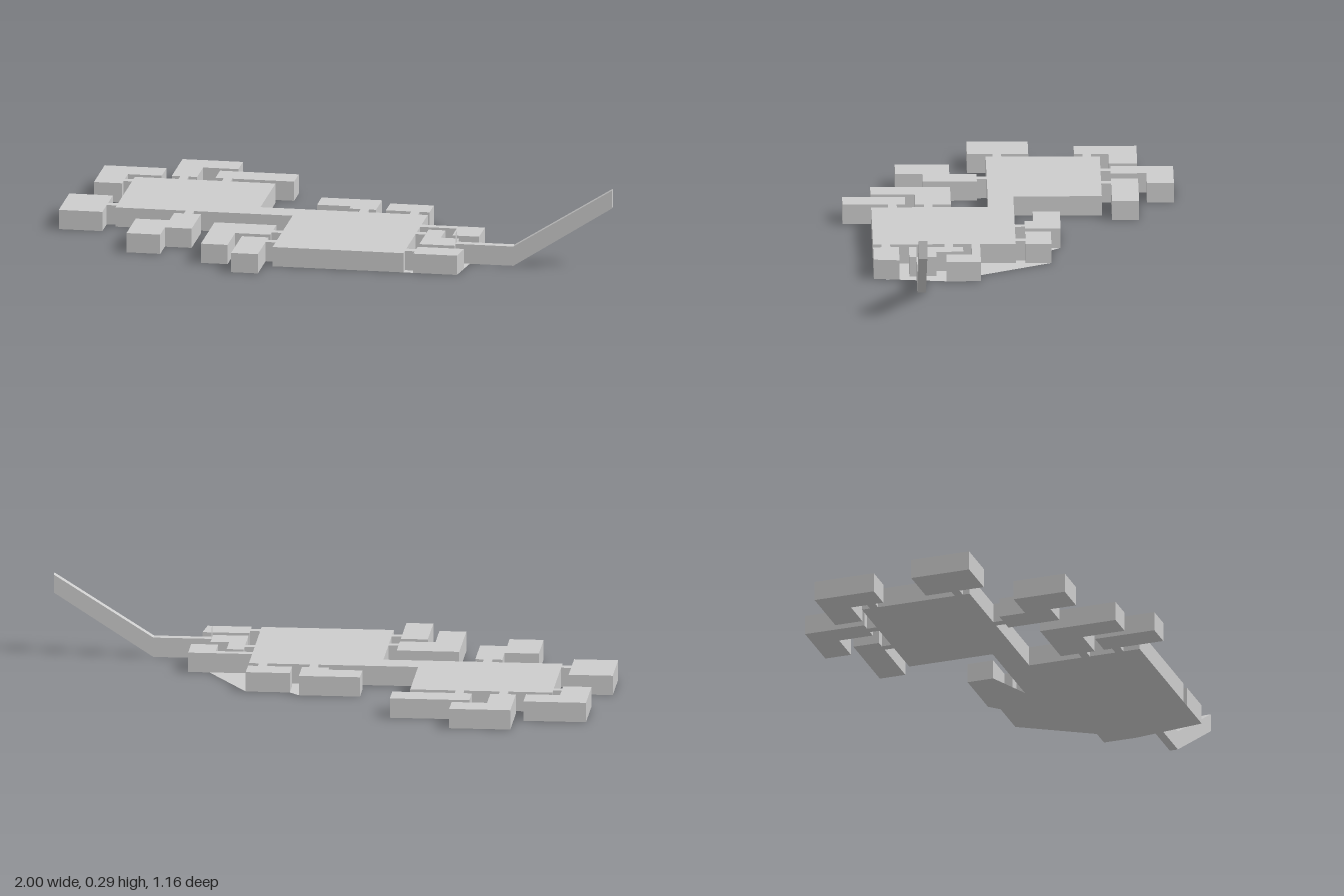
import * as THREE from 'three';

const H = 0.07; // common thickness
const POCKET = 0.05; // depth of the recesses underneath
const GAP = 0.035; // space between a body and its blocks
const mat = new THREE.MeshStandardMaterial({ color: 0xcccccc, flatShading: true });
const thin = new THREE.MeshStandardMaterial({ color: 0xcccccc, flatShading: true, side: THREE.DoubleSide });

// plan points are [x, z]
const plan = (pts) => pts.map(([x, z]) => new THREE.Vector2(x, -z));
const rect = (x0, z0, x1, z1) => [[x0, z0], [x1, z0], [x1, z1], [x0, z1]];

// rectangle with a notch (a by b) cut from the corner at signs sx, sz
function ell(x0, z0, x1, z1, a, b, sx, sz) {
  const w = (x1 - x0) / 2, d = (z1 - z0) / 2;
  return [[-w, -d], [w, -d], [w, d - b], [w - a, d - b], [w - a, d], [-w, d]]
    .map(([x, z]) => [x0 + w + sx * x, z0 + d + sz * z]);
}

// upright plate from a plan outline
function slab(name, pts, y0 = 0, y1 = H, hole = null) {
  const shape = new THREE.Shape(plan(pts));
  if (hole) shape.holes.push(new THREE.Path(plan(hole)));
  const geo = new THREE.ExtrudeGeometry(shape, { depth: y1 - y0, bevelEnabled: false });
  const mesh = new THREE.Mesh(geo.rotateX(-Math.PI / 2).translate(0, y0, 0), mat);
  mesh.name = name;
  return mesh;
}

function group(name, ...parts) {
  const g = new THREE.Group();
  g.name = name;
  return g.add(...parts);
}

// narrow bridges to a body, from their lowest x and z corner
const linkX = (x, z, length = GAP) => slab('link', rect(x, z, x + length, z + 0.03));
const linkZ = (x, z) => slab('link', rect(x, z, x + 0.03, z + GAP));

// square body with a rectangular recess in its underside
function body(name, x0, z0, x1, z1) {
  const inset = 0.11;
  const pocket = rect(x0 + inset, z0 + inset, x1 - inset, z1 - inset);
  const outline = rect(x0, z0, x1, z1);
  return group(name, slab('walls', outline, 0, POCKET, pocket), slab('top', outline, POCKET, H));
}

const block = (...corners) => slab('block', rect(...corners));
const hook = (...shape) => slab('block', ell(...shape));

export function createModel() {
  const model = group('steppedPlate',
    body('smallEndBody', -0.81, -0.33, -0.31, 0.07),
    body('tailEndBody', -0.18, -0.02, 0.285, 0.48),
    slab('neck', rect(-0.31, -0.02, -0.18, 0.07)));

  // blocks around the first body
  model.add(
    group('backCornerBlock', hook(-0.94, -0.46, -0.72, -0.24, 0.12, 0.12, 1, 1), linkX(-0.845, -0.3)),
    group('backHookBlock', hook(-0.685, -0.585, -0.47, -0.365, 0.125, 0.125, 1, 1), linkZ(-0.655, -0.365)),
    group('backBarBlock', block(-0.53, -0.46, -0.25, -0.365), linkZ(-0.5, -0.365)),
    group('sideBlock', block(-1, -0.08, -0.845, 0.135), linkX(-0.845, 0.015)),
    group('frontStepBlock', block(-0.595, 0.105, -0.5, 0.295), block(-0.715, 0.2, -0.595, 0.39),
      linkZ(-0.56, 0.07)));

  // blocks around the second body
  model.add(
    group('frontHookBlock', hook(-0.435, 0.2, -0.215, 0.48, 0.125, 0.155, 1, 1), linkX(-0.215, 0.265)),
    group('frontBarBlock', block(-0.31, 0.36, -0.215, 0.58), linkX(-0.215, 0.39)),
    group('innerBackBlock', hook(-0.12, -0.18, 0.095, -0.055, 0.12, 0.03, -1, 1), linkZ(0.04, -0.055)),
    group('outerBackBlock', block(0.13, -0.145, 0.285, -0.055), linkZ(0.22, -0.055)),
    group('tailSideBlock', block(0.415, 0.105, 0.51, 0.225), linkX(0.285, 0.105, 0.13)),
    group('tailRootBlock', block(0.32, 0.165, 0.38, 0.26), block(0.32, 0.26, 0.445, 0.355),
      linkX(0.285, 0.2)),
    group('tailFrontBlock', slab('block', [[0.32, 0.39], [0.485, 0.39], [0.475, 0.48], [0.32, 0.48]]),
      linkX(0.285, 0.42)));

  // thin floor under the back and tail-side blocks
  const floorGeo = new THREE.ShapeGeometry(new THREE.Shape(plan([
    [-0.12, -0.18], [0.095, -0.18], [0.13, -0.145], [0.285, -0.145], [0.435, 0.105], [0.51, 0.105],
    [0.51, 0.225], [0.475, 0.48], [0.285, 0.48], [0.285, -0.02], [0.03, -0.02], [-0.12, -0.085],
  ])));
  const floor = new THREE.Mesh(floorGeo.rotateX(-Math.PI / 2), thin);
  floor.name = 'floorSheet';

  // tail: flat at the root, then bent upward
  const side = [[0.445, 0], [0.65, 0], [1, 0.225], [1, 0.29], [0.65, H], [0.445, H]];
  const tailGeo = new THREE.ExtrudeGeometry(
    new THREE.Shape(side.map(([x, y]) => new THREE.Vector2(x, y))), { depth: 0.03, bevelEnabled: false });
  const tail = new THREE.Mesh(tailGeo.translate(0, 0, 0.3), mat);
  tail.name = 'tail';

  // small upright fin at the tail root
  const fin = new THREE.Mesh(new THREE.PlaneGeometry(0.03, 0.04).rotateY(Math.PI / 2), thin);
  fin.position.set(0.445, H + 0.02, 0.315);
  fin.name = 'tailFin';

  return model.add(floor, tail, fin);
}
